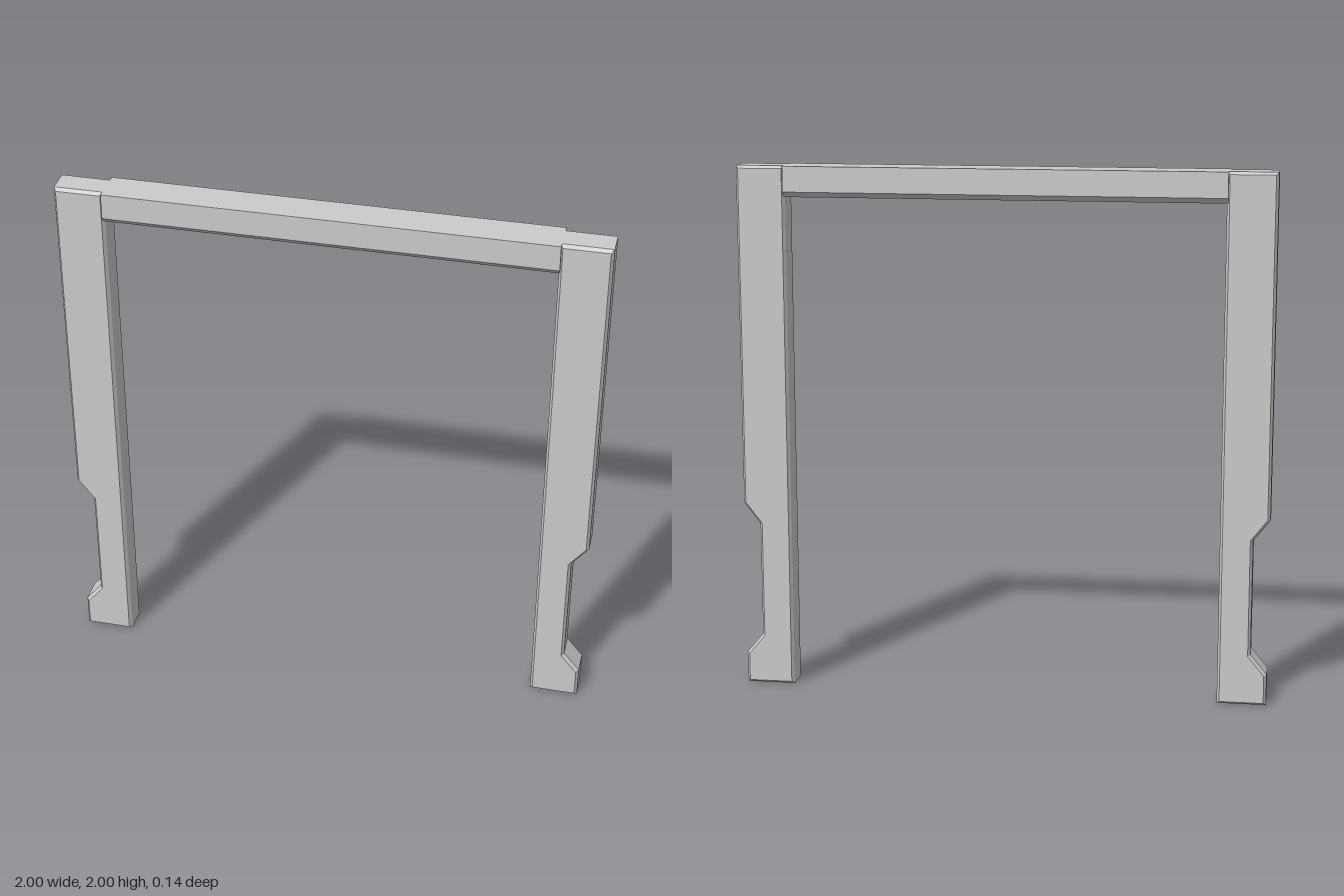
import * as THREE from 'three';

const material = new THREE.MeshStandardMaterial({ color: 0xcccccc, flatShading: true });

// Extrudes an outline to a total depth centred on z = 0
function extrude(points, depth, bevel) {
  const shape = new THREE.Shape(points.map(([x, y]) => new THREE.Vector2(x, y)));
  const thickness = bevel ? bevel.z : 0;
  const geometry = new THREE.ExtrudeGeometry(shape, {
    depth: depth - 2 * thickness,
    bevelEnabled: !!bevel,
    bevelThickness: thickness,
    bevelSize: bevel ? bevel.xy : 0,
    bevelOffset: bevel ? -bevel.xy : 0,
    bevelSegments: 1,
  });
  return geometry.translate(0, 0, -depth / 2 + thickness);
}

export function createModel() {
  const group = new THREE.Group();
  group.name = 'doorFrame';

  // Chamfered posts, notched on the outer side above the foot
  const postOutline = [
    [0.815, 0], [1, 0], [1, 0.12], [0.938, 0.195],
    [0.938, 0.635], [1, 0.715], [1, 2], [0.815, 2],
  ];
  for (const [side, name] of [[1, 'leftPost'], [-1, 'rightPost']]) {
    const points = postOutline.map(([x, y]) => [side * x, y]);
    const post = new THREE.Mesh(extrude(points, 0.12, { z: 0.014, xy: 0.01 }), material);
    post.name = name;
    group.add(post);
  }

  // Slightly deeper lintel with chamfered lower edges
  const lintelSection = [
    [-0.068, 2], [-0.068, 1.905], [-0.05, 1.885],
    [0.05, 1.885], [0.068, 1.905], [0.068, 2],
  ];
  const lintel = new THREE.Mesh(extrude(lintelSection, 1.64).rotateY(Math.PI / 2), material);
  lintel.name = 'lintel';
  group.add(lintel);

  return group;
}
